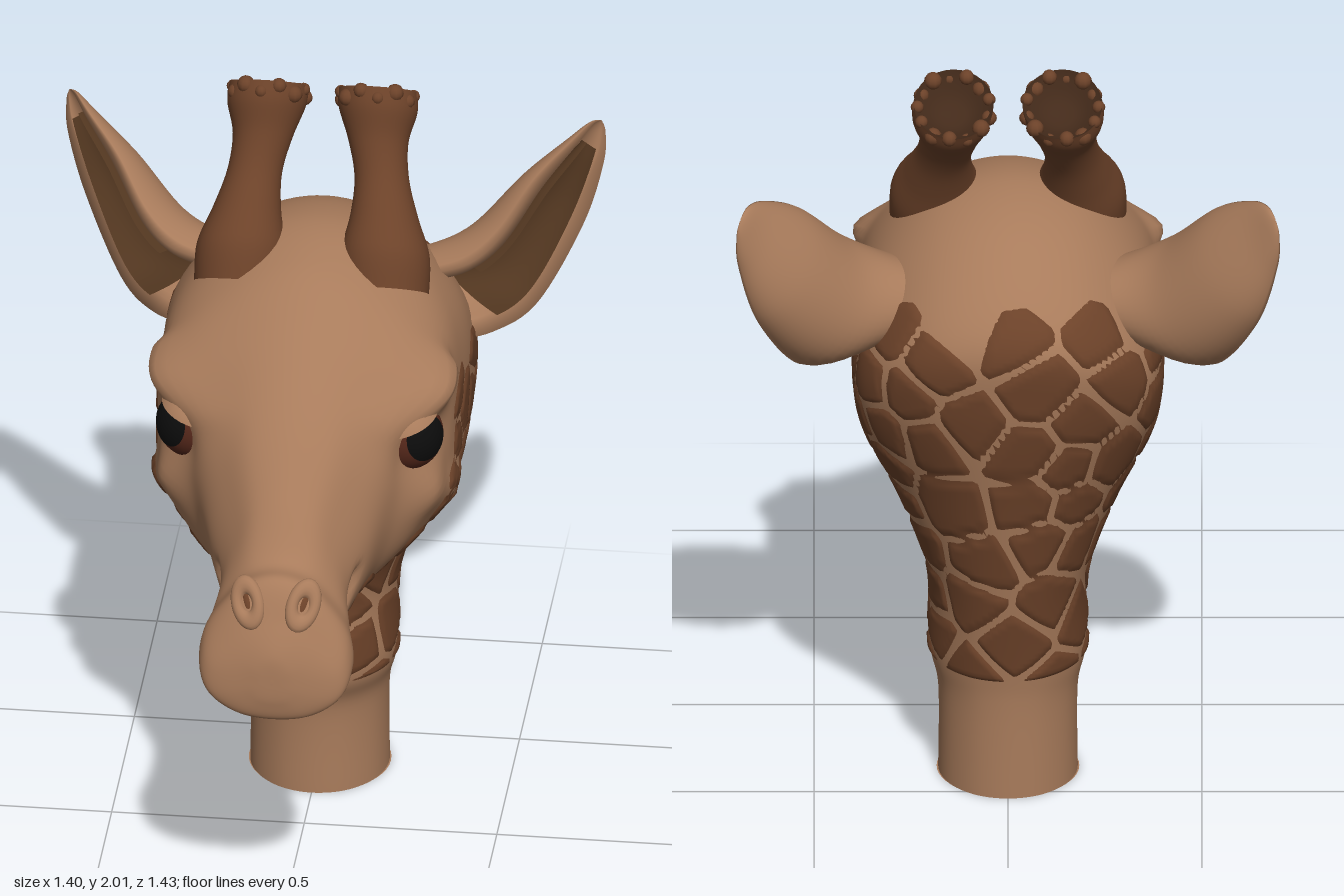
import * as THREE from 'three';
import { mergeVertices } from 'three/addons/utils/BufferGeometryUtils.js';

const V = (x, y, z) => new THREE.Vector3(x, y, z);
const mat = (color) => new THREE.MeshStandardMaterial({ color, side: THREE.DoubleSide });
const skin = mat(0xa87b5b), brown = mat(0x6c4229), dark = mat(0x432a1a);
const earDark = mat(0x50351f), eyeBrown = mat(0x54271a), black = mat(0x0c0c0c);

function add(parent, name, geometry, material, position) {
  const mesh = new THREE.Mesh(geometry, material);
  mesh.name = name;
  if (position) mesh.position.copy(position);
  parent.add(mesh);
  return mesh;
}

// Smooth interpolation through a list of equal-length rows
function sample(rows, u) {
  const n = rows.length, t = u * (n - 1), i = Math.min(Math.floor(t), n - 2), f = t - i;
  const row = (k) => rows[Math.max(0, Math.min(n - 1, k))];
  return rows[0].map((_, c) => {
    const a = row(i - 1)[c], b = row(i)[c], d = row(i + 1)[c], e = row(i + 2)[c];
    return b + 0.5 * f * (d - a + f * (2 * a - 5 * b + 4 * d - e + f * (3 * (b - d) + e - a)));
  });
}

// Skins cross-sections: section(u) returns a function of v giving a point
function loft(section, nu, nv) {
  const pos = [], idx = [];
  for (let i = 0; i <= nu; i++) {
    const point = section(i / nu);
    for (let j = 0; j <= nv; j++) pos.push(...point(j / nv).toArray());
  }
  for (let i = 0; i < nu; i++) for (let j = 0; j < nv; j++) {
    const a = i * (nv + 1) + j, b = a + nv + 1;
    idx.push(a, a + 1, b, b, a + 1, b + 1);
  }
  let g = new THREE.BufferGeometry();
  g.setAttribute('position', new THREE.Float32BufferAttribute(pos, 3));
  g.setIndex(idx);
  g = mergeVertices(g, 1e-5);
  g.computeVertexNormals();
  return g;
}

// Head sections: throat point z,y, crown point z,y, then five half-widths from throat to crown
const levels = [0.06, 0.25, 0.5, 0.75, 0.94];
const round = (z0, z1, y, w) => [z0, y, z1, y, ...[0.475, 0.866, 1, 0.866, 0.475].map((k) => k * w)];
const neckRows = [
  round(-0.16, -0.54, 0, 0.18), round(-0.16, -0.54, 0.24, 0.18),
  round(-0.12, -0.55, 0.36, 0.203), round(-0.12, -0.585, 0.58, 0.205),
];
const headRows = [
  [-0.095, 0.70, -0.64, 0.88, 0.13, 0.24, 0.275, 0.245, 0.13],
  [-0.06, 0.73, -0.70, 1.20, 0.16, 0.305, 0.36, 0.34, 0.20],
  [-0.02, 0.735, -0.69, 1.40, 0.16, 0.34, 0.39, 0.37, 0.21],
  [0.02, 0.735, -0.50, 1.58, 0.165, 0.355, 0.395, 0.37, 0.20],
  [0.05, 0.73, -0.28, 1.65, 0.16, 0.355, 0.39, 0.36, 0.20],
  [0.09, 0.73, -0.08, 1.62, 0.15, 0.33, 0.38, 0.36, 0.18],
  [0.15, 0.725, 0.07, 1.54, 0.13, 0.28, 0.36, 0.36, 0.17],
  [0.23, 0.725, 0.19, 1.45, 0.11, 0.215, 0.265, 0.265, 0.14],
  [0.33, 0.73, 0.31, 1.34, 0.10, 0.18, 0.21, 0.18, 0.11],
  [0.43, 0.74, 0.43, 1.20, 0.09, 0.155, 0.165, 0.13, 0.075],
  [0.53, 0.76, 0.53, 1.08, 0.11, 0.175, 0.175, 0.13, 0.07],
  [0.62, 0.73, 0.615, 1.065, 0.12, 0.195, 0.19, 0.14, 0.075],
  [0.69, 0.70, 0.67, 0.97, 0.10, 0.165, 0.165, 0.12, 0.06],
  [0.712, 0.755, 0.705, 0.89, 0.04, 0.06, 0.06, 0.05, 0.025],
  [0.713, 0.82, 0.713, 0.82, 0, 0, 0, 0, 0],
];
const bodyRows = [...neckRows, ...headRows];

// Falloff around a side-view segment, given as z,y pairs
function near(p, z0, y0, z1, y1, size) {
  const dz = z1 - z0, dy = y1 - y0;
  const t = Math.max(0, Math.min(1, ((p.z - z0) * dz + (p.y - y0) * dy) / (dz * dz + dy * dy)));
  return Math.exp(-((p.z - z0 - t * dz) ** 2 + (p.y - y0 - t * dy) ** 2) / (size * size));
}

function bodySection(u) {
  const [z0, y0, z1, y1, ...w] = sample(bodyRows, u);
  const at = (x, t) => V(x, y0 + (y1 - y0) * t, z0 + (z1 - z0) * t);
  const side = w.map((x, i) => at(x, levels[i]));
  const other = w.map((x, i) => at(-x, levels[i])).reverse();
  const curve = new THREE.CatmullRomCurve3([at(0, 0), ...side, at(0, 1), ...other], true);
  return (v) => {
    const p = curve.getPoint(v % 1);
    // Eye socket, brow, cheekbone and mouth crease
    p.x *= 1 - 0.12 * near(p, 0.14, 1.21, 0.10, 1.23, 0.075) + 0.09 * near(p, 0.2, 1.32, 0, 1.38, 0.045)
      + 0.06 * near(p, 0.12, 1.06, -0.05, 1.0, 0.05) - 0.11 * near(p, 0.63, 0.74, 0.38, 0.96, 0.018);
    return p;
  };
}

// Coat patches: cells around scattered seeds, raised above the skin inside and sunk under it between
function coatPatches() {
  let state = 7;
  const rand = () => (state = (state * 16807) % 2147483647) / 2147483647;
  const section = (u) => bodySection(0.05 + 0.73 * u);
  const edge = [[-0.72, 1.42], [-0.3, 1.29], [-0.1, 1.27], [-0.06, 1.08], [0.03, 1.04], [0.1, 0.9], [0.3, 0.84], [0.42, 0.77]];
  const limit = (z) => {
    if (z > 0.42) return 0;
    const i = Math.max(1, edge.findIndex((e) => e[0] >= z));
    const [a, b] = [edge[i - 1], edge[i]];
    return a[1] + (b[1] - a[1]) * (z - a[0]) / (b[0] - a[0]);
  };
  const seeds = [];
  for (let k = 0; k < 5000; k++) {
    const p = section(rand())(rand());
    const size = p.z > -0.14 && p.y > 0.68 ? 0.078 : 0.125;
    if (seeds.every((s) => s.p.distanceTo(p) > size)) seeds.push({ p, on: p.y < limit(p.z) });
  }
  const g = loft(section, 200, 160), pos = g.attributes.position, nor = g.attributes.normal;
  const height = [], p = V(0, 0, 0);
  for (let i = 0; i < pos.count; i++) {
    p.fromBufferAttribute(pos, i);
    let d1 = 9, d2 = 9, on = false;
    for (const s of seeds) {
      const d = p.distanceTo(s.p);
      if (d < d1) { d2 = d1; d1 = d; on = s.on; } else if (d < d2) d2 = d;
    }
    const rise = Math.min(d2 - d1 - 0.018, (p.y - 0.34) * 2) * 0.4;
    height.push(on ? Math.max(-0.01, Math.min(0.006, rise)) : -0.01);
    p.addScaledVector(V(0, 0, 0).fromBufferAttribute(nor, i), height[i]);
    pos.setXYZ(i, p.x, p.y, p.z);
  }
  const old = g.index.array, kept = [];
  for (let i = 0; i < old.length; i += 3) {
    const tri = [old[i], old[i + 1], old[i + 2]];
    if (tri.some((k) => height[k] > -0.004)) kept.push(...tri);
  }
  g.setIndex(kept);
  g.computeVertexNormals();
  return g;
}

function makeEar() {
  const ear = new THREE.Group();
  ear.name = 'ear';
  // Upper front rim point, lower rear rim point, cup depth
  const rows = [
    [0.28, 1.46, -0.33, 0.33, 1.26, -0.34, 0.26], [0.39, 1.50, -0.33, 0.44, 1.25, -0.42, 0.24],
    [0.47, 1.565, -0.375, 0.54, 1.265, -0.56, 0.18], [0.55, 1.675, -0.47, 0.645, 1.44, -0.67, 0.115],
    [0.63, 1.74, -0.57, 0.695, 1.61, -0.695, 0.055], [0.67, 1.76, -0.64, 0.70, 1.70, -0.70, 0.02],
    [0.69, 1.745, -0.685, 0.692, 1.74, -0.69, 0.002],
  ];
  const back = V(-0.75, 0.1, -0.6);
  const arc = (u, a, width, deep) => {
    const [ax, ay, az, bx, by, bz, d] = sample(rows, u);
    const A = V(ax, ay, az), B = V(bx, by, bz);
    return A.clone().add(B).multiplyScalar(0.5).addScaledVector(A.sub(B), 0.5 * width * Math.cos(a))
      .addScaledVector(back, d * deep * Math.sin(a));
  };
  add(ear, 'earShell', loft((u) => (v) => {
    const a = 2 * Math.PI * v;
    return v <= 0.5 ? arc(u, a, 1, 1) : arc(u, 2 * Math.PI - a, v > 0.999 ? 1 : 0.66, 0.75);
  }, 48, 48), skin);
  add(ear, 'earLining', loft((u) => (v) => arc(0.2 + 0.5 * u, Math.PI * v, 0.63 - 0.3 * u * u, 0.7), 30, 24), earDark);
  return ear;
}

function makeHorn() {
  const horn = new THREE.Group();
  horn.name = 'horn';
  const ring = ([x, y, z, r]) => (v) => {
    const a = 2 * Math.PI * v, s = r * Math.sin(a);
    return V(x + r * Math.cos(a), y + 0.57 * s, z + 0.82 * s);
  };
  const shaft = [[0.19, 1.50, -0.16, 0.115], [0.187, 1.59, -0.20, 0.115], [0.178, 1.67, -0.255, 0.088], [0.165, 1.75, -0.31, 0.071],
    [0.15, 1.83, -0.36, 0.078], [0.145, 1.90, -0.40, 0.102], [0.14, 1.945, -0.425, 0.103]];
  const cup = [[0.14, 1.945, -0.425, 0.103], [0.14, 1.93, -0.415, 0.085], [0.14, 1.905, -0.40, 0.045], [0.14, 1.90, -0.397, 0]];
  add(horn, 'hornShaft', loft((u) => ring(sample(shaft, u)), 36, 32), brown);
  add(horn, 'hornCup', loft((u) => ring(sample(cup, u)), 8, 32), dark);
  // Knobbly rim
  for (let i = 0; i < 13; i++) {
    const p = ring([0.14, 1.935 - 0.014 * (i % 2), -0.42 + 0.01 * (i % 2), 0.094])(i / 13);
    add(horn, 'hornKnob', new THREE.SphereGeometry(0.017 + 0.003 * (i % 3), 10, 8), brown, p);
  }
  return horn;
}

function makeEye() {
  const eye = new THREE.Group();
  eye.name = 'eye';
  const center = V(0.275, 1.23, 0.092);
  const cap = (name, r, angle, dir, material) => {
    const g = new THREE.SphereGeometry(r, 32, 16, 0, 2 * Math.PI, 0, angle);
    add(eye, name, g, material, center).quaternion.setFromUnitVectors(V(0, 1, 0), dir.normalize());
  };
  add(eye, 'eyeball', new THREE.SphereGeometry(0.097, 32, 20), eyeBrown, center);
  cap('pupil', 0.0985, 0.68, V(0.72, 0.22, 0.65), black);
  cap('upperLid', 0.107, 1.14, V(-0.25, 0.94, 0.08), skin);
  cap('lowerLid', 0.104, 0.8, V(-0.1, -0.95, -0.1), skin);
  return eye;
}

function makeNostril() {
  const nostril = new THREE.Group();
  nostril.name = 'nostril';
  const rim = add(nostril, 'nostrilRim', new THREE.TorusGeometry(0.036, 0.02, 14, 28), skin);
  const hole = add(nostril, 'nostrilHole', new THREE.SphereGeometry(0.03, 16, 12), brown);
  rim.scale.set(0.8, 1.3, 0.8);
  hole.scale.set(0.45, 1, 0.25);
  rim.rotation.z = hole.rotation.z = -0.4;
  nostril.position.set(0.072, 1.01, 0.635);
  nostril.lookAt(V(0.32, 1.4, 1.4));
  return nostril;
}

export function createModel() {
  const model = new THREE.Group();
  model.name = 'giraffeHead';
  add(model, 'headAndNeck', loft(bodySection, 160, 96), skin);
  add(model, 'coatPatches', coatPatches(), brown);

  // Lower lip
  add(model, 'chin', new THREE.SphereGeometry(1, 32, 20), skin, V(0, 0.772, 0.52)).scale.set(0.145, 0.097, 0.125);

  // Neck base with a socket
  add(model, 'neckBase', new THREE.RingGeometry(0.09, 0.184, 48), skin, V(0, 0.001, -0.35)).rotation.x = Math.PI / 2;
  add(model, 'neckSocket', new THREE.CylinderGeometry(0.09, 0.09, 0.3, 32, 1, true), skin, V(0, 0.151, -0.35));
  add(model, 'socketEnd', new THREE.CircleGeometry(0.09, 32), skin, V(0, 0.3, -0.35)).rotation.x = Math.PI / 2;

  // Paired parts, mirrored across the middle
  for (const s of [1, -1]) {
    const half = new THREE.Group();
    half.name = s > 0 ? 'leftFeatures' : 'rightFeatures';
    half.add(makeEar(), makeHorn(), makeEye(), makeNostril());
    half.scale.x = s;
    model.add(half);
  }
  return model;
}
